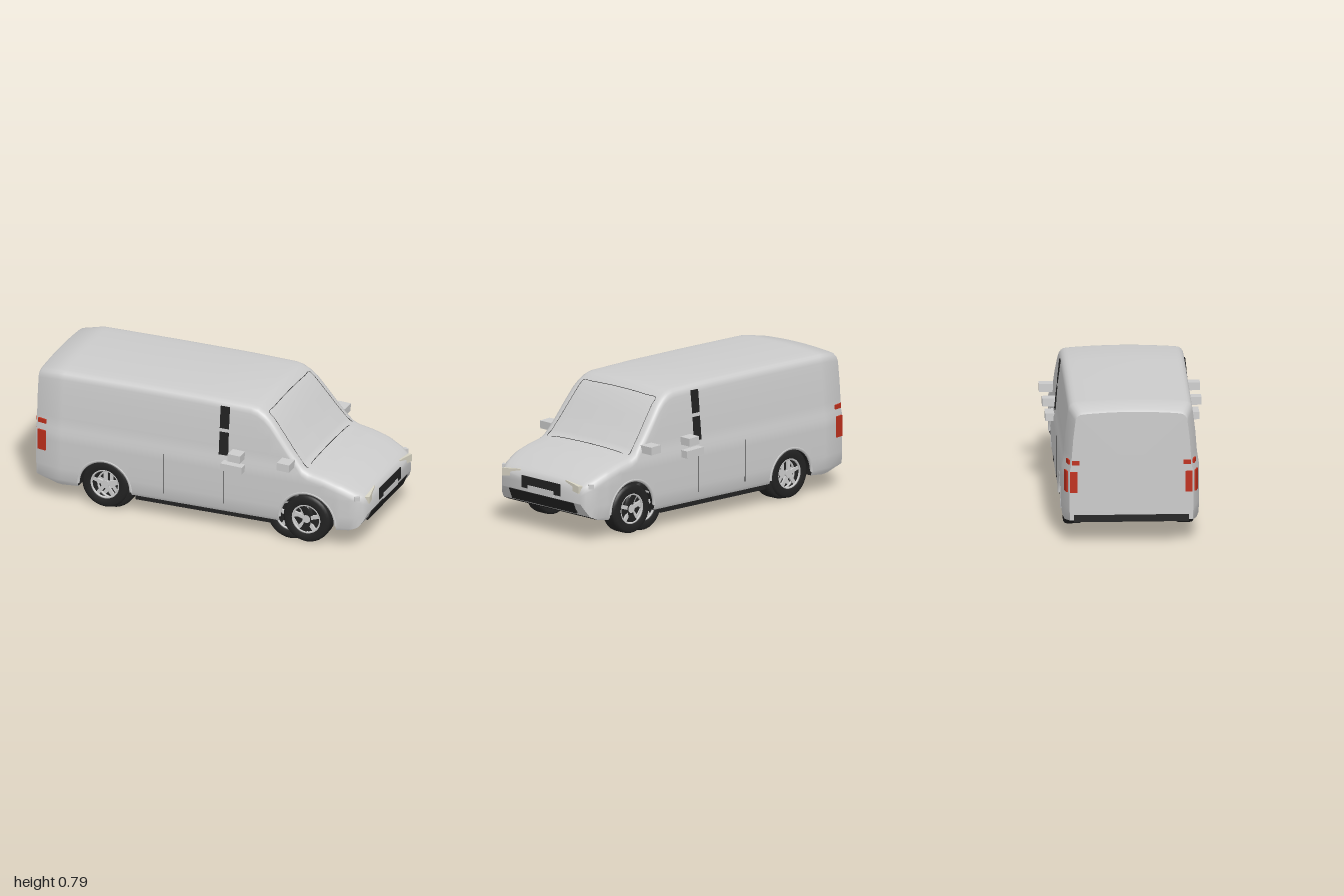
import * as THREE from 'three';
import { mergeVertices, toCreasedNormals } from 'three/addons/utils/BufferGeometryUtils.js';

const mat = (color) => new THREE.MeshStandardMaterial({ color, side: THREE.DoubleSide });
const grey = mat(0xcccccc), dark = mat(0x222222), red = mat(0xc0301c), lamp = mat(0xd8d4c4);

// Piecewise linear curve through [input, output] pairs
const curve = (pts) => (v) => {
  if (v <= pts[0][0]) return pts[0][1];
  for (let i = 1; i < pts.length; i++) {
    const [a, b] = [pts[i - 1], pts[i]];
    if (v <= b[0]) return a[1] + (b[1] - a[1]) * (v - a[0]) / (b[0] - a[0]);
  }
  return pts[pts.length - 1][1];
};

// Body rules: roof line, sill line, half width by height, plan taper at the ends
const roofPts = [[-0.995, 0.755], [-0.98, 0.767], [-0.86, 0.785], [-0.4, 0.787], [0, 0.785], [0.3, 0.777], [0.34, 0.768],
  [0.38, 0.745], [0.42, 0.71], [0.48, 0.635], [0.55, 0.545], [0.62, 0.462], [0.66, 0.442], [0.75, 0.424],
  [0.85, 0.394], [0.93, 0.358], [0.975, 0.336], [0.993, 0.318]];
const roofY = curve(roofPts);
const sillY = curve([[-0.995, 0.13], [-0.97, 0.125], [-0.83, 0.095], [-0.74, 0.105], [-0.4, 0.11], [0.5, 0.11],
  [0.82, 0.11], [0.9, 0.118], [0.95, 0.14], [0.975, 0.175], [0.993, 0.215]]);
const width = curve([[0.08, 0.35], [0.1, 0.366], [0.13, 0.38], [0.2, 0.384], [0.41, 0.384], [0.44, 0.375],
  [0.6, 0.363], [0.74, 0.346], [0.8, 0.335]]);
const taper = curve([[-0.995, 0.038], [-0.97, 0.027], [-0.86, 0], [0.83, 0], [0.93, 0.02], [0.975, 0.045], [0.993, 0.07]]);
const arches = [{ x: -0.57, y: 0.13, r: 0.16 }, { x: 0.655, y: 0.14, r: 0.17 }];
const bottomY = (x) => {
  for (const a of arches) {
    const d = Math.abs(x - a.x);
    if (d <= a.r) return a.y + Math.sqrt(a.r * a.r - d * d);
  }
  return sillY(x);
};
const CROWN = 0.012, R = 0.045;
const sideYs = [0, 0.11, 0.13, 0.2, 0.3, 0.36, 0.41, 0.44, 0.5, 0.6, 0.68, 1];

// One cross-section, from the left sill over the roof to the right sill
function section(x) {
  const yb = bottomY(x), yt = roofY(x), top = yt - CROWN - R, half = [];
  for (const v of sideYs) {
    const y = Math.min(Math.max(v, yb), top);
    half.push([y, width(y) - taper(x)]);
  }
  const w = width(top) - taper(x) - R;
  for (const a of [0.25, 0.5, 0.75, 1]) {
    const t = a * Math.PI / 2;
    half.push([top + R * Math.sin(t), w + R * Math.cos(t)]);
  }
  for (const f of [0.8, 0.5, 0.25]) half.push([yt - CROWN * f * f, w * f]);
  return [...half.map(([y, z]) => [x, y, z]), [x, yt, 0], ...half.reverse().map(([y, z]) => [x, y, -z])];
}

function grid(rows, caps) {
  const n = rows[0].length, pos = rows.flat(2), idx = [];
  for (let i = 0; i < rows.length - 1; i++) for (let j = 0; j < n - 1; j++) {
    const a = i * n + j, b = a + n;
    idx.push(a, b, b + 1, a, b + 1, a + 1);
  }
  if (caps) [0, rows.length - 1].forEach((i, end) => {
    const c = pos.length / 3;
    pos.push(rows[i][0][0] + (end ? 0.006 : -0.005), end ? 0.27 : 0.42, 0);
    for (let j = 0; j < n; j++) {
      const a = i * n + j, b = i * n + (j + 1) % n;
      idx.push(c, end ? b : a, end ? a : b);
    }
  });
  const g = new THREE.BufferGeometry();
  g.setAttribute('position', new THREE.Float32BufferAttribute(pos, 3));
  g.setIndex(idx);
  return toCreasedNormals(mergeVertices(g), 0.7);
}

export function createModel() {
  const group = new THREE.Group();
  const add = (name, geo, m, x = 0, y = 0, z = 0, parent = group) => {
    const mesh = new THREE.Mesh(geo, m);
    mesh.name = name;
    mesh.position.set(x, y, z);
    parent.add(mesh);
    return mesh;
  };
  const box = (name, m, sx, sy, sz, x, y, z) => add(name, new THREE.BoxGeometry(sx, sy, sz), m, x, y, z);

  // Body shell lofted along its length, with wheel arch openings
  const xs = [...roofPts.map((p) => p[0]), -0.83, -0.2, 0.95, 0.9];
  for (const a of arches) {
    xs.push(a.x - a.r - 0.001, a.x + a.r + 0.001);
    for (let i = 0; i <= 20; i++) xs.push(a.x - (a.r - 1e-6) * Math.cos(i * Math.PI / 20));
  }
  xs.sort((a, b) => a - b);
  const rows = xs.map(section);
  add('bodyShell', grid(rows, true), grey);

  // Underside, including the wheel tunnels; the chin is body coloured
  const under = rows.map((r) => [r[r.length - 1], r[0]]);
  add('underside', grid(under.filter((r) => r[0][0] <= 0.951)), dark);
  add('chin', grid(under.filter((r) => r[0][0] >= 0.949)), grey);
  box('floor', dark, 0.81, 0.03, 0.72, 0.015, 0.096, 0);

  // Wheel arch lips
  for (const a of arches) for (const s of [1, -1])
    add('archLip', new THREE.TorusGeometry(a.r, 0.01, 6, 24, Math.PI), grey, a.x, a.y, s * 0.377);

  // Wheels: tyre, dark disc, rim ring, spokes and hub
  const tyre = new THREE.LatheGeometry([[0.08, -0.04], [0.09, -0.052], [0.125, -0.052], [0.138, -0.042], [0.14, -0.03],
    [0.14, 0.03], [0.138, 0.042], [0.125, 0.052], [0.09, 0.052], [0.08, 0.04]].map((p) => new THREE.Vector2(...p)), 32);
  tyre.rotateX(Math.PI / 2);
  const disc = new THREE.CylinderGeometry(0.085, 0.085, 0.06, 28).rotateX(Math.PI / 2);
  const hub = new THREE.CylinderGeometry(0.024, 0.024, 0.02, 16).rotateX(Math.PI / 2);
  const rim = new THREE.TorusGeometry(0.083, 0.007, 6, 28);
  const spoke = new THREE.BoxGeometry(0.066, 0.022, 0.012).translate(0.048, 0, 0);
  for (const [x, z] of [[-0.575, 0.312], [-0.54, 0.3], [0.54, 0.305], [0.64, 0.312]]) for (const s of [1, -1]) {
    const wheel = new THREE.Group();
    wheel.name = x > 0 ? 'frontWheel' : 'rearWheel';
    wheel.position.set(x, 0.14, s * z);
    if (s < 0) wheel.rotation.y = Math.PI;
    group.add(wheel);
    add('tyre', tyre, dark, 0, 0, 0, wheel);
    add('disc', disc, dark, 0, 0, 0, wheel);
    add('rim', rim, grey, 0, 0, 0.042, wheel);
    add('hub', hub, grey, 0, 0, 0.036, wheel);
    for (let i = 0; i < 5; i++)
      add('spoke', spoke, grey, 0, 0, 0.037, wheel).rotation.z = Math.PI / 2 + i * Math.PI * 0.4;
  }

  // Parts on both sides
  for (const s of [1, -1]) {
    for (const [y, h] of [[0.675, 0.13], [0.522, 0.135]])
      box('doorPillar', dark, 0.055, h, 0.012, 0.148, y, s * (width(y) - 0.002)).rotation.x = -s * 0.1;
    box('frontMirror', grey, 0.075, 0.045, 0.085, 0.537, 0.475, s * 0.407).rotation.z = -0.05;
    box('rearMirror', grey, 0.075, 0.045, 0.085, 0.238, 0.475, s * 0.402).rotation.z = -0.05;
    box('doorHandle', grey, 0.13, 0.042, 0.06, 0.215, 0.403, s * 0.4).rotation.z = -0.04;
    for (const x of [-0.21, 0.15]) box('doorSeam', dark, 0.003, 0.24, 0.003, x, 0.28, s * 0.3835);
    // Tail lamps wrapping the rear corners
    for (const [y, h] of [[0.35, 0.12], [0.462, 0.025]]) {
      box('tailLampSide', red, 0.052, h, 0.012, -0.954, y, s * (width(y) - 0.022)).rotation.y = -s * 0.22;
      box('tailLampRear', red, 0.012, h, 0.04, -0.993, y, s * (width(y) - 0.062));
    }
    // Headlamps
    const head = box('headlamp', lamp, 0.025, 0.042, 0.13, 0.98, 0.304, s * 0.247);
    head.rotation.set(s * 0.1, s * 0.16, 0);
    box('sideMarker', grey, 0.03, 0.026, 0.02, 0.945, 0.315, s * 0.35).rotation.y = s * 0.6;
  }

  // Nose: grilles and plate
  box('upperGrille', dark, 0.012, 0.068, 0.31, 0.994, 0.27, 0);
  box('plate', grey, 0.006, 0.036, 0.206, 0.999, 0.238, 0);
  box('lowerGrille', dark, 0.012, 0.068, 0.52, 0.978, 0.184, 0).rotation.z = -0.4;

  // Rear bumper strip
  box('rearBumper', dark, 0.025, 0.04, 0.64, -0.987, 0.14, 0);

  // Windscreen seal lying on the glass
  const seal = [];
  const edge = (x0, x1, z0, z1) => {
    for (let i = 0; i < 8; i++) {
      const t = i / 8, x = x0 + (x1 - x0) * t, z = z0 + (z1 - z0) * t, f = z / (width(roofY(x)) - R);
      seal.push(new THREE.Vector3(x, roofY(x) - CROWN * f * f, z));
    }
  };
  edge(0.39, 0.635, 0.292, 0.328);
  edge(0.635, 0.635, 0.328, -0.328);
  edge(0.635, 0.39, -0.328, -0.292);
  edge(0.39, 0.39, -0.292, 0.292);
  add('windscreenSeal', new THREE.TubeGeometry(new THREE.CatmullRomCurve3(seal, true), 128, 0.0018, 4, true), dark);
  return group;
}
